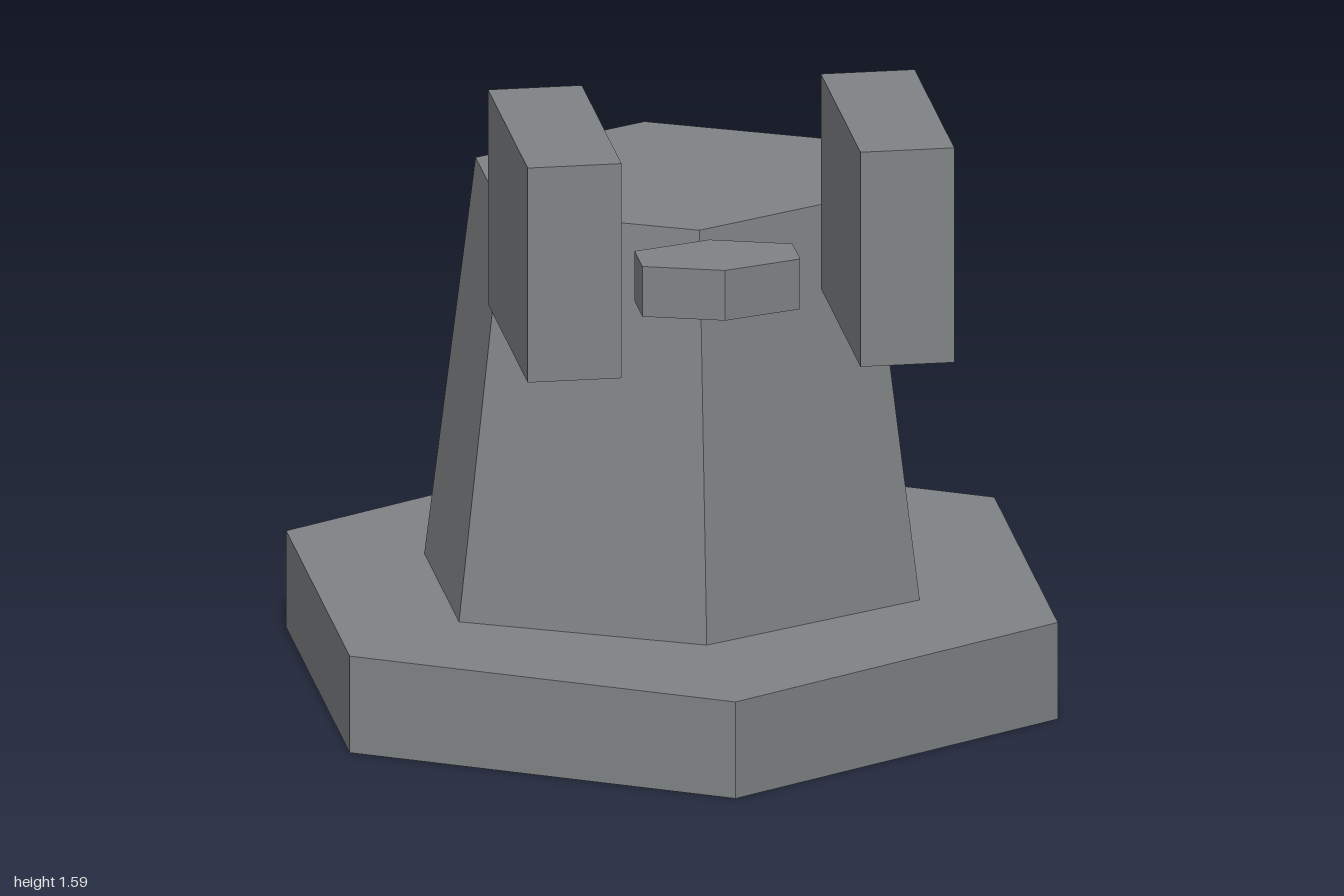
import * as THREE from 'three';
import { mergeGeometries } from 'three/addons/utils/BufferGeometryUtils.js';

const grey = new THREE.MeshStandardMaterial({ color: 0x808486, flatShading: true, side: THREE.DoubleSide });
grey.name = 'grey';

// Hollow prism with a capped top and an open underside, one corner facing +z.
// rx and rz are the corner radii at the foot; taper scales the top.
function shell(name, sides, rx, rz, y0, y1, taper = 1, turn = 0) {
  const height = y1 - y0;
  const walls = new THREE.CylinderGeometry(taper, 1, height, sides, 1, true);
  const cap = new THREE.CircleGeometry(taper, sides, Math.PI / 2)
    .rotateX(-Math.PI / 2)
    .translate(0, height / 2, 0);
  const geometry = mergeGeometries([walls, cap]).rotateY(turn).scale(rx, 1, rz);
  const mesh = new THREE.Mesh(geometry, grey);
  mesh.name = name;
  mesh.position.y = (y0 + y1) / 2;
  return mesh;
}

export function createModel() {
  const model = new THREE.Group();
  model.name = 'model';
  const hex = Math.cos(Math.PI / 6); // half width of a unit hexagon

  // Broad hexagonal foot and the tapered tower on it
  const base = shell('base', 6, 0.83 / hex, 0.96, 0, 0.235);
  const tower = shell('tower', 6, 0.54 / hex, 0.525, 0.235, 1.21, 0.793);
  base.position.z = tower.position.z = -0.043;

  // Small hexagonal block between the side plates
  const hub = shell('hub', 6, 0.185 / hex, 0.118, 1.113, 1.235);
  hub.position.z = 0.642;
  model.add(base, tower, hub);

  // Pair of upright side plates floating in front
  for (const side of [1, -1]) {
    const plate = shell(side > 0 ? 'leftPlate' : 'rightPlate', 4,
      0.11 * Math.SQRT2, 0.3 * Math.SQRT2, 1.063, 1.585, 1, Math.PI / 4);
    plate.position.x = side * 0.39;
    plate.position.z = 0.7;
    model.add(plate);
  }
  return model;
}
